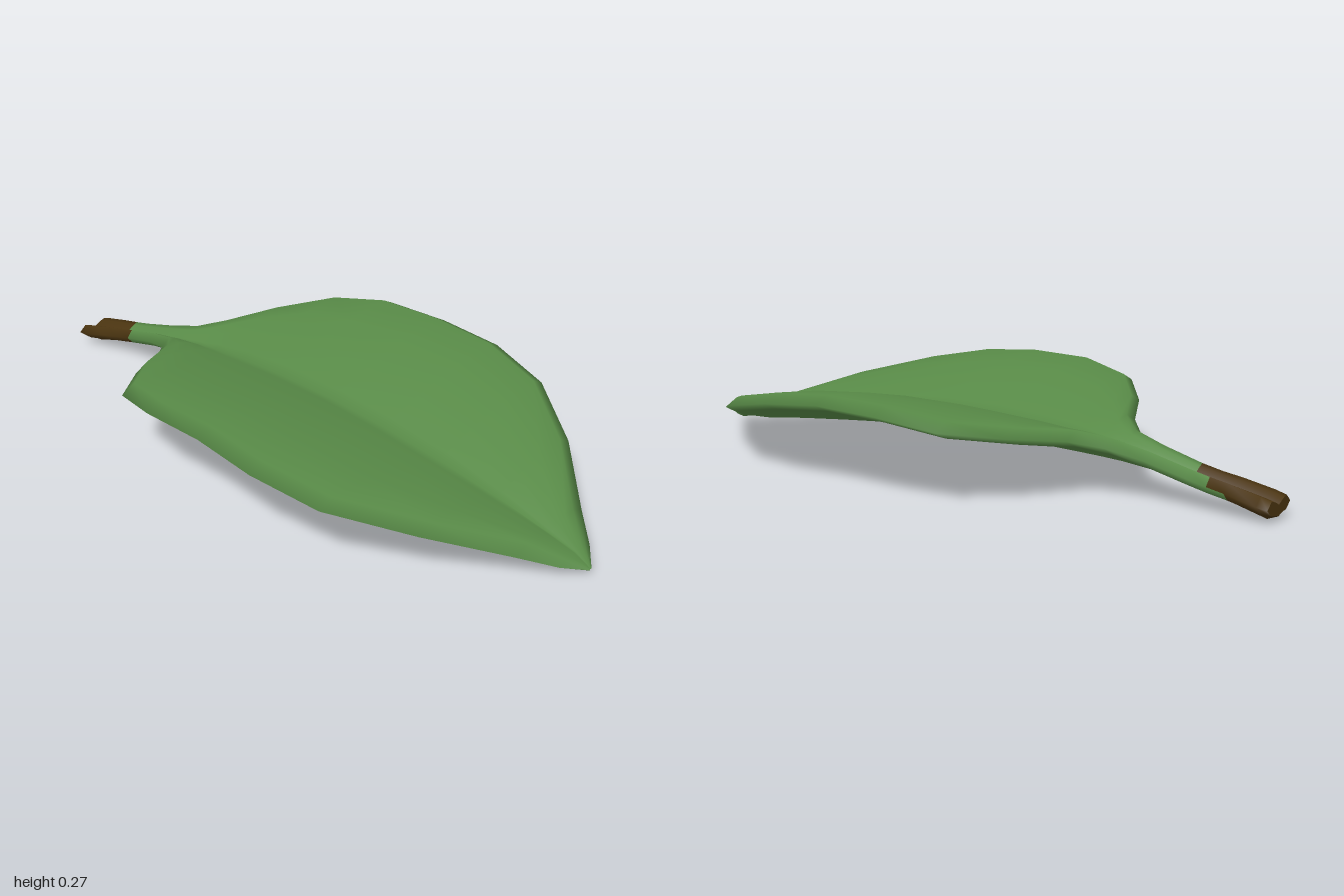
import * as THREE from 'three';

// Stations along the leaf: x, half width, rim height, midrib top, midrib underside, z offset
const STATIONS = [
  [-1.0, 0.064, 0.06, 0.042, 0.012, 0.016],
  [-0.97, 0.066, 0.068, 0.05, 0.0, 0.015],
  [-0.88, 0.06, 0.088, 0.066, 0.026, 0.008],
  [-0.83, 0.056, 0.097, 0.076, 0.038, 0.003],
  [-0.77, 0.055, 0.11, 0.088, 0.052, 0.0],
  [-0.65, 0.064, 0.14, 0.115, 0.078, -0.002],
  [-0.55, 0.095, 0.165, 0.133, 0.088, -0.004],
  [-0.48, 0.17, 0.188, 0.143, 0.091, -0.004],
  [-0.4, 0.32, 0.212, 0.153, 0.093, -0.004],
  [-0.28, 0.468, 0.24, 0.162, 0.095, -0.004],
  [-0.11, 0.516, 0.268, 0.168, 0.095, -0.004],
  [0.1, 0.52, 0.272, 0.165, 0.09, -0.004],
  [0.3, 0.526, 0.253, 0.15, 0.08, -0.004],
  [0.5, 0.48, 0.214, 0.126, 0.061, -0.003],
  [0.7, 0.33, 0.158, 0.096, 0.04, -0.002],
  [0.87, 0.15, 0.088, 0.064, 0.018, 0],
  [0.95, 0.07, 0.045, 0.044, 0.014, 0],
  [1.0, 0.004, 0.018, 0.017, 0.012, 0],
];

// Closed cross-section: upper face from -z to +z, then the underside back again
function crossSection([x, w, rimY, midTop, midBottom, zc]) {
  const rim = Math.min(0.045, w * 0.35);
  const drop = Math.min(0.045, (rimY - midBottom) * 0.8);
  const bulge = 0.018 * w / 0.52;
  const lift = z => (z < 0 ? z * 0.02 : 0); // the -z side droops slightly
  const at = (z, y) => new THREE.Vector3(x, y + lift(z), zc + z);
  const face = (t, mid, edge) => {
    const s = Math.abs(t);
    return at(t * (w - rim), mid + (edge - mid) * s + bulge * Math.sin(Math.PI * s));
  };
  const steps = [-1, -0.66, -0.33, -0.08, 0, 0.08, 0.33, 0.66, 1];
  return [
    at(-w, rimY - drop * 0.5),
    ...steps.map(t => face(t, midTop, rimY)),
    at(w, rimY - drop * 0.5),
    ...steps.map(t => face(-t, midBottom, rimY - drop)),
  ];
}

export function createModel() {
  const green = new THREE.MeshStandardMaterial({ color: 0x588a47 });
  green.name = 'leafGreen';
  const brown = new THREE.MeshStandardMaterial({ color: 0x4a3410 });
  brown.name = 'stemBrown';

  const rings = STATIONS.map(crossSection);
  const n = rings[0].length;
  const positions = rings.flat().flatMap(p => p.toArray());
  const greenFaces = [], brownFaces = [];

  // Skin between neighbouring sections; the brown stalk end has a ragged border
  for (let i = 0; i < rings.length - 1; i++) {
    for (let j = 0; j < n; j++) {
      const k = (j + 1) % n;
      const a = i * n + j, b = i * n + k, c = a + n, d = b + n;
      const front = j >= 5 && j < 15;
      const under = j > 10;
      const limit = front ? (under ? -0.82 : -0.76) : (under ? -0.87 : -0.82);
      const target = STATIONS[i + 1][0] <= limit ? brownFaces : greenFaces;
      target.push(a, b, d, a, d, c);
    }
  }

  const leaf = new THREE.BufferGeometry();
  leaf.setAttribute('position', new THREE.Float32BufferAttribute(positions, 3));
  leaf.setIndex([...greenFaces, ...brownFaces]);
  leaf.addGroup(0, greenFaces.length, 0);
  leaf.addGroup(greenFaces.length, brownFaces.length, 1);
  leaf.computeVertexNormals();
  const blade = new THREE.Mesh(leaf, [green, brown]);
  blade.name = 'leafBladeAndStalk';

  // Cut end of the stalk
  const ring = rings[0];
  const center = new THREE.Vector3(-1, 0.027, STATIONS[0][5]);
  const capPoints = ring.flatMap((p, j) => [center, ring[(j + 1) % n], p]);
  const capGeometry = new THREE.BufferGeometry().setFromPoints(capPoints);
  capGeometry.computeVertexNormals();
  const cap = new THREE.Mesh(capGeometry, brown);
  cap.name = 'stalkCutEnd';

  const group = new THREE.Group();
  group.name = 'leaf';
  group.add(blade, cap);
  return group;
}
